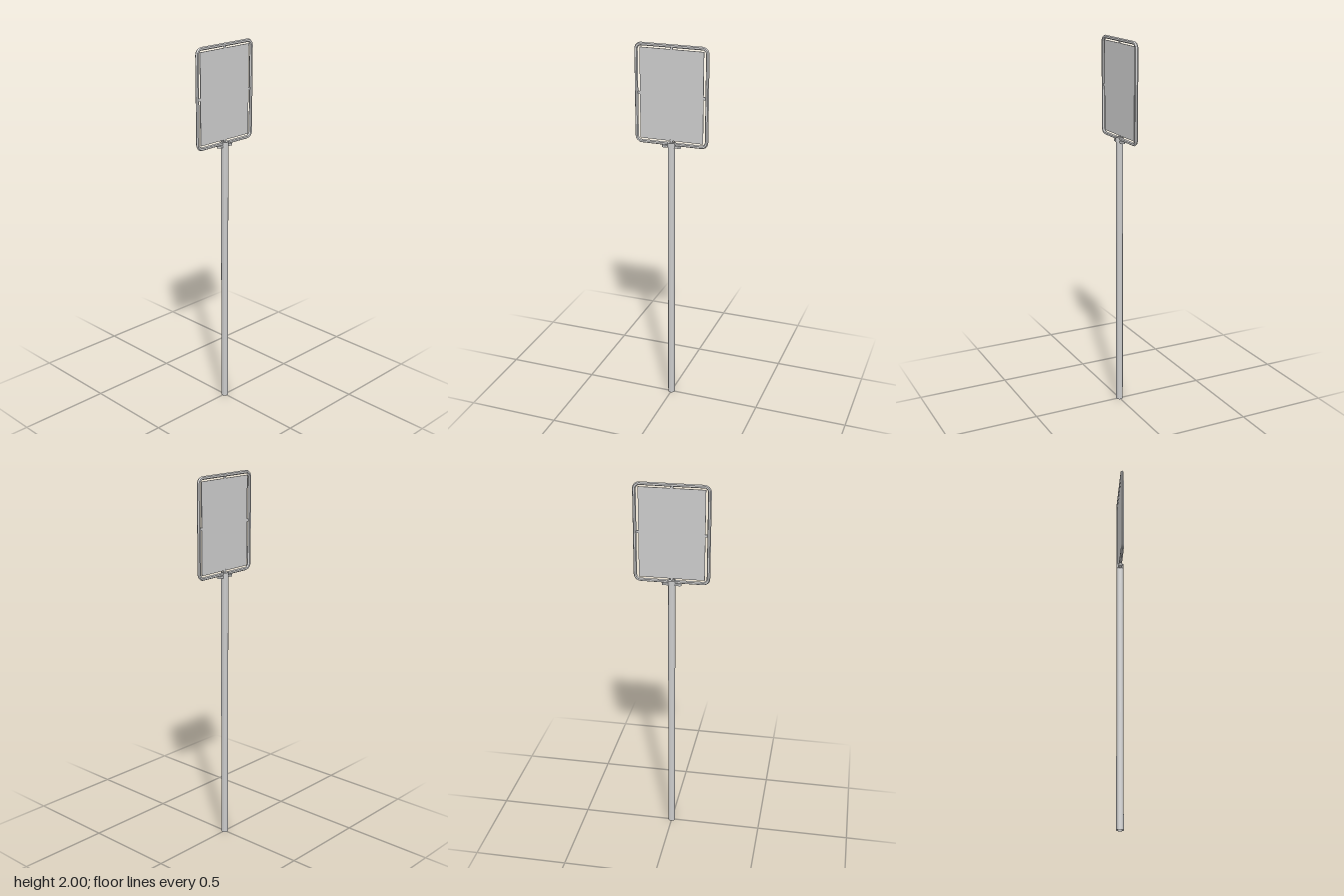
import * as THREE from 'three';
import { toCreasedNormals } from 'three/addons/utils/BufferGeometryUtils.js';

const grey = new THREE.MeshStandardMaterial({ color: 0xcccccc });
const greyDouble = new THREE.MeshStandardMaterial({ color: 0xcccccc, side: THREE.DoubleSide });

// Hexagonal tube swept round a rounded rectangle in the xy plane
function frameGeometry(halfW, halfH, bend, tubeR, steps = 6, sides = 6) {
  const positions = [], index = [];
  const corners = [[1, 1], [-1, 1], [-1, -1], [1, -1]];
  corners.forEach(([sx, sy], c) => {
    for (let i = 0; i <= steps; i++) {
      const a = (c + i / steps) * Math.PI / 2;
      for (let j = 0; j < sides; j++) {
        const v = j / sides * Math.PI * 2;
        const r = bend + tubeR * Math.cos(v);
        positions.push(
          sx * (halfW - bend) + r * Math.cos(a),
          sy * (halfH - bend) + r * Math.sin(a),
          tubeR * Math.sin(v));
      }
    }
  });
  const rings = 4 * (steps + 1);
  for (let i = 0; i < rings; i++) {
    for (let j = 0; j < sides; j++) {
      const i2 = (i + 1) % rings, j2 = (j + 1) % sides;
      const a = i * sides + j, b = i2 * sides + j, c = i2 * sides + j2, d = i * sides + j2;
      index.push(a, b, c, a, c, d);
    }
  }
  const g = new THREE.BufferGeometry();
  g.setAttribute('position', new THREE.Float32BufferAttribute(positions, 3));
  g.setIndex(index);
  return toCreasedNormals(g, 0.7);
}

export function createModel() {
  const model = new THREE.Group();
  const add = (name, geometry, x, y, z, material = grey) => {
    const mesh = new THREE.Mesh(geometry, material);
    mesh.name = name;
    mesh.position.set(x, y, z);
    model.add(mesh);
    return mesh;
  };

  // Hollow pole, open at both ends
  const wall = [[0.0165, 0], [0.0188, 0], [0.0188, 1.47], [0.0165, 1.47], [0.0165, 0]]
    .map(([r, y]) => new THREE.Vector2(r, y));
  add('pole', toCreasedNormals(new THREE.LatheGeometry(wall, 24), 0.7), 0, 0, 0, greyDouble);

  // Collar at the pole top, holding the frame
  const collar = [[0.0175, 0], [0.0205, 0], [0.0205, 0.026], [0.0175, 0.026], [0.0175, 0]]
    .map(([r, y]) => new THREE.Vector2(r, y));
  add('collar', toCreasedNormals(new THREE.LatheGeometry(collar, 24), 0.7), 0, 1.466, 0, greyDouble);

  // Sign frame and the thin panel inside it
  add('signFrame', frameGeometry(0.189, 0.2535, 0.027, 0.009), 0, 1.7375, 0);
  add('signPanel', new THREE.BoxGeometry(0.34, 0.474, 0.004), 0, 1.7375, 0);

  // Clips joining the panel to the frame
  for (const s of [-1, 1]) {
    add('sideClip', new THREE.BoxGeometry(0.018, 0.014, 0.006), s * 0.175, 1.74, 0);
    add('endClip', new THREE.BoxGeometry(0.014, 0.018, 0.006), 0, 1.7375 + s * 0.24, 0);
  }

  // Bracket wings under the frame, each with a rounded end
  for (const s of [-1, 1]) {
    add('bracketWing', new THREE.BoxGeometry(0.024, 0.012, 0.016), s * 0.03, 1.47, 0);
    add('bracketEnd', new THREE.CylinderGeometry(0.0105, 0.0105, 0.012, 16), s * 0.04, 1.47, 0);
  }
  return model;
}
